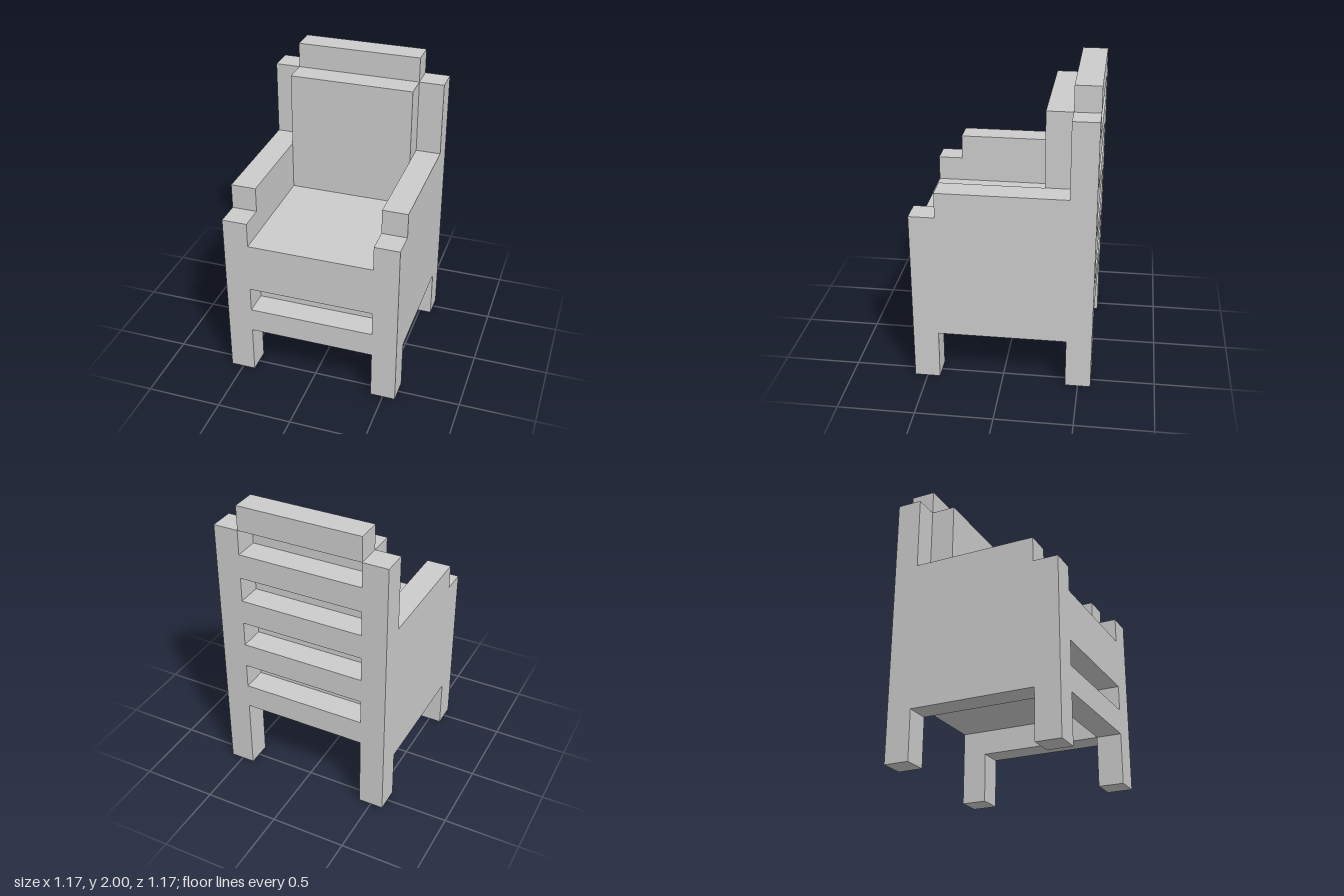
import * as THREE from 'three';

// Everything sits on a grid of one sixth of a unit.
const U = 1 / 6;

export function createModel() {
  const chair = new THREE.Group();
  chair.name = 'armchair';
  const material = new THREE.MeshStandardMaterial({ color: 0xcccccc, flatShading: true });

  const add = (name, geometry) => {
    const mesh = new THREE.Mesh(geometry, material);
    mesh.name = name;
    chair.add(mesh);
  };

  // A bar spanning the gap between the two sides, given in grid steps
  const span = (name, y0, y1, z0, z1) => {
    const geometry = new THREE.BoxGeometry(5 * U, (y1 - y0) * U, (z1 - z0) * U);
    geometry.translate(0, (y0 + y1) / 2 * U, (z0 + z1) / 2 * U);
    add(name, geometry);
  };

  // Side: legs, arm panel and back post in one profile of (z, y)
  const profile = [
    [3.5, 0], [3.5, 7], [2.5, 7], [2.5, 8], [-2.5, 8], [-2.5, 11],
    [-3.5, 11], [-3.5, 0], [-2.5, 0], [-2.5, 2], [2.5, 2], [2.5, 0],
  ];
  const sideShape = new THREE.Shape(profile.map(([z, y]) => new THREE.Vector2(z * U, y * U)));
  for (const [name, outerX] of [['leftSide', 3.5], ['rightSide', -2.5]]) {
    const geometry = new THREE.ExtrudeGeometry(sideShape, { depth: U, bevelEnabled: false });
    geometry.rotateY(-Math.PI / 2);
    geometry.translate(outerX * U, 0, 0);
    add(name, geometry);
  }

  // Seat with its front edge and the lower rail below the slot
  span('seat', 3, 6, -2.5, 2.5);
  span('seatFront', 4, 6, 2.5, 3.5);
  span('frontRail', 2, 3, 2.5, 3.5);

  // Back: cushion, horizontal slats and the crest on top
  span('backCushion', 6, 11, -2.5, -1.5);
  for (let i = 0; i < 4; i++) span(`backSlat${i + 1}`, 3 + 2 * i, 4 + 2 * i, -3.5, -2.5);
  span('crestRail', 11, 12, -3.5, -2.5);

  return chair;
}
